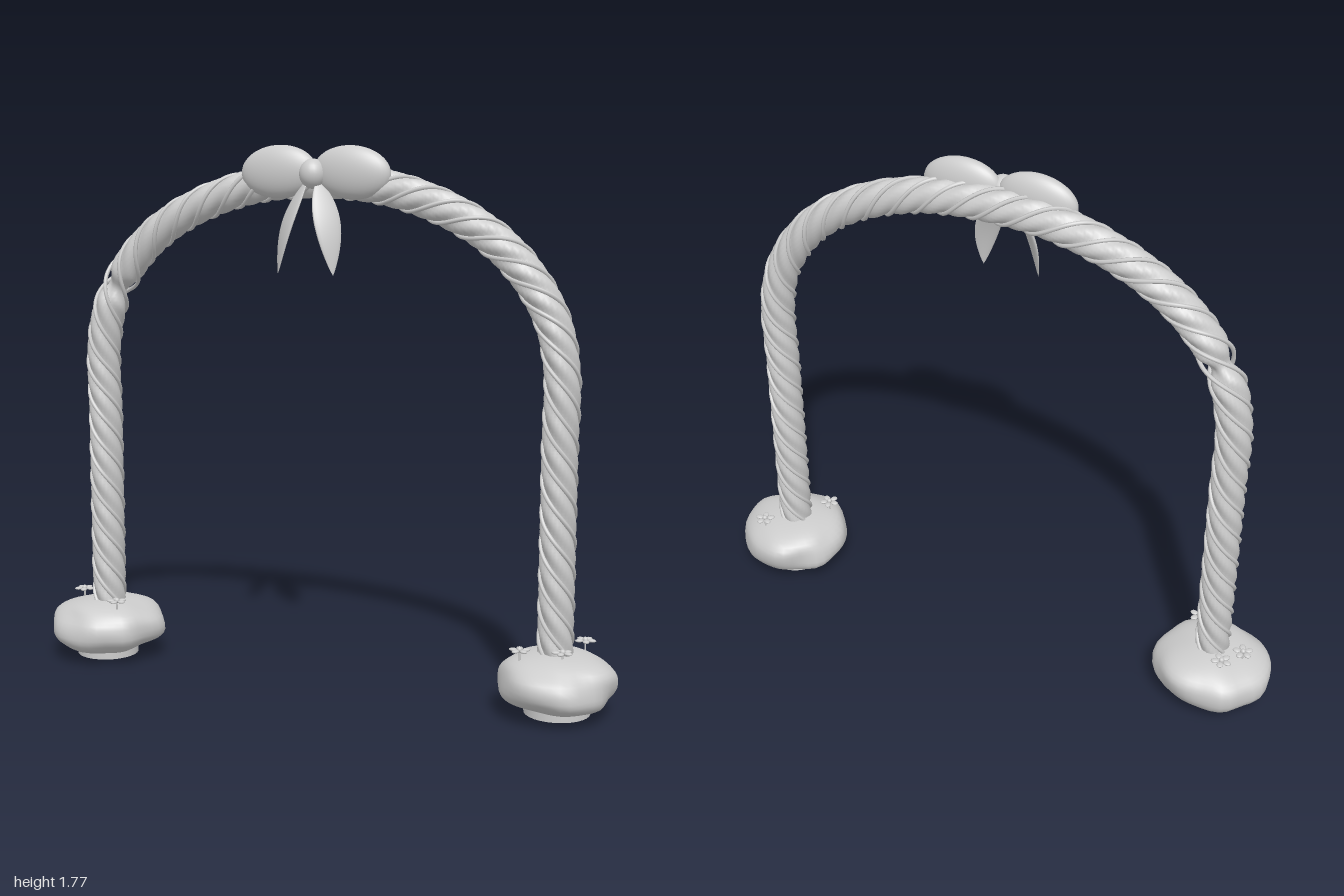
import * as THREE from 'three';
import { ParametricGeometry } from 'three/addons/geometries/ParametricGeometry.js';

const stoneGrey = new THREE.MeshStandardMaterial({ color: 0xcccccc });

function addMesh(parent, name, geometry, x = 0, y = 0, z = 0) {
  const mesh = new THREE.Mesh(geometry, stoneGrey);
  mesh.name = name;
  mesh.position.set(x, y, z);
  parent.add(mesh);
  return mesh;
}

// Centre line of the arch, from the foot at +x over the top to the foot at -x
const half = [[0.8, 0.12], [0.8, 0.5], [0.8, 0.85], [0.8, 1.1], [0.76, 1.26],
  [0.65, 1.42], [0.49, 1.54], [0.25, 1.63]];
const archPoints = [...half, [0, 1.655], ...half.map(([x, y]) => [-x, y]).reverse()];
const arch = new THREE.CatmullRomCurve3(archPoints.map(([x, y]) => new THREE.Vector3(x, y, 0)));
arch.arcLengthDivisions = 800;
const archLength = arch.getLength();
const strands = 4;
const twist = u => (u * archLength / 0.4) * Math.PI * 2;

// Position of the pinched joint along the arch
let joint = 0.6;
while (arch.getPointAt(joint).x > -0.742) joint += 0.001;

// A point at a given angle and distance around the centre line
function around(u, angle, radius, target) {
  const t = THREE.MathUtils.clamp(u, 0, 1);
  const p = arch.getPointAt(t), d = arch.getTangentAt(t);
  const c = Math.cos(angle) * radius;
  return target.set(p.x + d.y * c, p.y - d.x * c, Math.sin(angle) * radius);
}

function buildRope(group) {
  // Lobed rope body, narrowed at the joint
  const body = new ParametricGeometry((u, v, target) => {
    const a = v * Math.PI * 2;
    const pinch = 1 - 0.45 * Math.exp(-(((u - joint) * archLength / 0.035) ** 2));
    const r = (0.053 + 0.004 * Math.cos(strands * (a - twist(u)))) * pinch;
    around(u, a, r, target);
  }, 400, 28);
  addMesh(group, 'ropeBody', body);

  // Thin cords wound along the grooves
  for (let k = 0; k < strands; k++) {
    const points = [];
    for (let i = 0; i <= 320; i++) {
      const u = i / 320;
      const a = twist(u) + (k + 0.5) * Math.PI * 2 / strands;
      points.push(around(u, a, 0.0525, new THREE.Vector3()));
    }
    const path = new THREE.CatmullRomCurve3(points);
    addMesh(group, 'windingCord', new THREE.TubeGeometry(path, 640, 0.007, 6));
  }
}

// Rounded, uneven rock made by pushing a sphere's vertices in and out
function rockGeometry(seed) {
  const geo = new THREE.SphereGeometry(1, 40, 24);
  const pos = geo.attributes.position;
  const p = new THREE.Vector3();
  for (let i = 0; i < pos.count; i++) {
    p.fromBufferAttribute(pos, i);
    const lump = 1 + 0.035 * Math.sin(4.1 * p.x + 3 * p.y + seed)
      + 0.03 * Math.sin(5.3 * p.z - 4 * p.y + seed * 2)
      + 0.025 * Math.sin(7 * p.x - 6 * p.z + seed * 3);
    const flat = Math.sign(p.y) * Math.abs(p.y) ** 0.8;
    pos.setXYZ(i, p.x * lump * 0.19, flat * 0.094 * (0.6 + 0.4 * lump), p.z * lump * 0.188);
  }
  geo.computeVertexNormals();
  // Match normals along the sphere's seam
  const n = geo.attributes.normal;
  for (let r = 0; r <= 24; r++) {
    const a = r * 41, b = a + 40;
    const m = new THREE.Vector3().fromBufferAttribute(n, a)
      .add(new THREE.Vector3().fromBufferAttribute(n, b)).normalize();
    n.setXYZ(a, m.x, m.y, m.z);
    n.setXYZ(b, m.x, m.y, m.z);
  }
  return geo;
}

function buildFlower(parent, x, z, turn) {
  const flower = new THREE.Group();
  flower.name = 'flower';
  flower.position.set(x, 0.223, z);
  flower.rotation.y = turn;
  const petal = new THREE.SphereGeometry(1, 10, 6).scale(0.014, 0.005, 0.011);
  for (let i = 0; i < 5; i++) {
    const a = i * Math.PI * 2 / 5;
    const m = addMesh(flower, 'petal', petal, Math.cos(a) * 0.021, 0, -Math.sin(a) * 0.021);
    m.rotation.y = a;
  }
  addMesh(flower, 'flowerCentre', new THREE.SphereGeometry(0.009, 10, 8), 0, 0.002, 0);
  addMesh(flower, 'stem', new THREE.CylinderGeometry(0.003, 0.003, 0.06, 6), 0, -0.03, 0);
  parent.add(flower);
}

function buildFoot(parent, name, x, seed, flowers) {
  const foot = new THREE.Group();
  foot.name = name;
  addMesh(foot, 'rock', rockGeometry(seed), x, 0.115, 0);
  addMesh(foot, 'basePlate', new THREE.CylinderGeometry(0.105, 0.105, 0.03, 28), x, 0.025, 0);
  // Small pegs under the base
  for (let i = 0; i < 3; i++) {
    const a = i * Math.PI * 2 / 3 + 0.5;
    addMesh(foot, 'peg', new THREE.CylinderGeometry(0.009, 0.009, 0.012, 10),
      x + Math.cos(a) * 0.045, 0.006, Math.sin(a) * 0.045);
  }
  flowers.forEach(([fx, fz], i) => buildFlower(foot, fx, fz, i * 0.9 + seed));
  parent.add(foot);
}

function buildBow(parent) {
  const bow = new THREE.Group();
  bow.name = 'bow';
  const loop = new THREE.SphereGeometry(1, 32, 20).scale(0.13, 0.084, 0.044);
  // Pointed leaf-like tail, hung from its top
  const tail = new ParametricGeometry((u, v, target) => {
    const a = v * Math.PI * 2;
    const w = Math.sin(Math.PI * u ** 0.85) ** 0.85 || 0;
    target.set(Math.cos(a) * 0.045 * w, -0.31 * u, -Math.sin(a) * 0.009 * w + 0.02 * Math.sin(Math.PI * u));
  }, 24, 16);
  tail.computeVertexNormals();
  for (const side of [1, -1]) {
    const l = addMesh(bow, 'bowLoop', loop, side * 0.125, 1.683, 0.04);
    l.rotation.z = -side * 0.06;
    const hanger = new THREE.Group();
    hanger.name = 'bowTail';
    hanger.position.set(side * 0.018, 1.66, 0.06);
    const down = new THREE.Vector3(side * 0.078, -0.3, 0.06).normalize();
    hanger.quaternion.setFromUnitVectors(new THREE.Vector3(0, -1, 0), down);
    const t = addMesh(hanger, 'tailBlade', tail);
    t.material.side = THREE.DoubleSide;
    t.rotation.y = side * Math.PI / 4;
    bow.add(hanger);
  }
  addMesh(bow, 'bowKnot', new THREE.SphereGeometry(0.043, 24, 16).scale(1, 1.1, 1), 0, 1.678, 0.06);
  parent.add(bow);
}

export function createModel() {
  const model = new THREE.Group();
  model.name = 'ropeArch';
  const rope = new THREE.Group();
  rope.name = 'rope';
  buildRope(rope);
  model.add(rope);
  buildFoot(model, 'leftFoot', 0.81, 1.3, [[0.87, -0.1], [0.84, 0.06], [0.71, 0.085]]);
  buildFoot(model, 'rightFoot', -0.81, 4.2, [[-0.86, -0.085], [-0.91, -0.015], [-0.72, 0.09]]);
  buildBow(model);
  return model;
}
